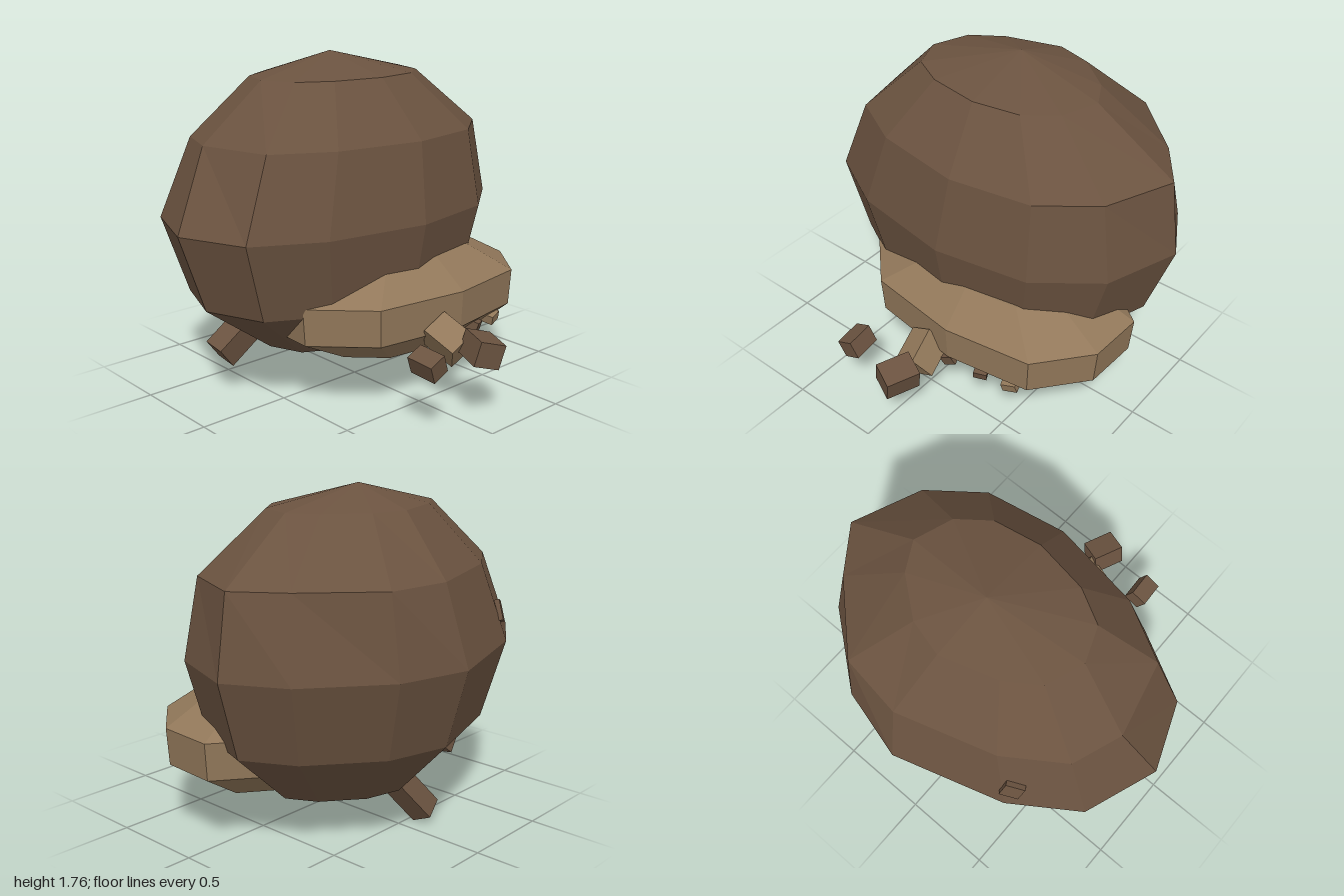
import * as THREE from 'three';

const brown = new THREE.MeshStandardMaterial({ color: 0x6b5340 });
brown.name = 'dark earth';
const tan = new THREE.MeshStandardMaterial({ color: 0x92785a });
tan.name = 'pale earth';

// Faceted rock: an outline in plan, repeated at each ring [y, scale, dx, dz] from top to bottom
function rock(name, material, outline, [cx, cz], rings, tweaks = {}) {
  const n = outline.length;
  const base = new THREE.SphereGeometry(1, n, rings.length - 1);
  const pos = base.attributes.position;
  for (let k = 0; k < pos.count; k++) {
    const row = Math.floor(k / (n + 1));
    const col = (k % (n + 1)) % n;
    const [y, s, dx, dz] = rings[row];
    const [tx, tz] = tweaks[`${row},${col}`] || [0, 0];
    pos.setXYZ(k,
      cx + (outline[col][0] - cx) * s + dx + tx, y,
      cz + (outline[col][1] - cz) * s + dz + tz);
  }
  const geometry = base.toNonIndexed();
  geometry.computeVertexNormals();
  const mesh = new THREE.Mesh(geometry, material);
  mesh.name = name;
  return mesh;
}

function chunk(name, material, size, position, rotation) {
  const mesh = new THREE.Mesh(new THREE.BoxGeometry(...size), material);
  mesh.name = name;
  mesh.position.set(...position);
  mesh.rotation.set(...rotation);
  return mesh;
}

export function createModel() {
  const group = new THREE.Group();
  group.name = 'earthMound';

  // Main boulder, twelve sided
  group.add(rock('boulder', brown, [
    [-1, -0.16], [-0.86, 0.2], [-0.51, 0.39], [0.05, 0.48], [0.55, 0.39], [0.86, 0.15],
    [1, -0.25], [0.835, -0.55], [0.45, -0.855], [0.07, -0.955], [-0.52, -0.775], [-0.855, -0.55],
  ], [0.03, -0.23], [
    [1.74, 0, 0, 0],
    [1.63, 0.5, 0, 0.04],
    [1.33, 0.866, 0.04, 0.02],
    [0.92, 1, 0, 0],
    [0.51, 0.866, 0, 0.02],
    [0.21, 0.5, 0.03, 0.03],
    [0.1, 0, 0.02, 0.06],
  ], { '2,0': [0.03, -0.08], '2,6': [0.03, -0.02], '2,8': [0.01, -0.04] }));

  // Pale ledge bulging from the lower front, ten sided
  group.add(rock('ledge', tan, [
    [0.21, 0.6], [0.68, 0.53], [0.905, 0.26], [0.92, -0.05], [0.65, -0.25],
    [0.17, -0.34], [-0.3, -0.25], [-0.56, -0.02], [-0.575, 0.26], [-0.305, 0.53],
  ], [0.17, 0.13], [
    [0.77, 0, 0, 0],
    [0.71, 0.62, 0, 0],
    [0.56, 1, 0, 0],
    [0.365, 0.98, 0, 0],
    [0.21, 0.62, 0.03, 0],
    [0.155, 0, 0, 0],
  ]));

  // Loose crumbs in front
  group.add(
    chunk('frontCrumb', brown, [0.14, 0.13, 0.18], [0.09, 0.35, 0.84], [0.05, -0.4, -0.25]),
    chunk('smallFrontCrumb', brown, [0.1, 0.1, 0.15], [-0.245, 0.35, 0.79], [0.1, 0.06, 0.4]),
    chunk('paleCrumb', tan, [0.15, 0.15, 0.19], [0.07, 0.345, 0.63], [0.45, 0.15, 0.5]),
  );

  // Clods sticking out underneath and behind
  group.add(
    chunk('bottomClod', brown, [0.12, 0.26, 0.12], [-0.06, 0.135, -0.53], [0.42, 0, -0.59]),
    chunk('sideClod', brown, [0.14, 0.28, 0.13], [-0.59, 0.285, -0.27], [0.15, 0, -0.9]),
    chunk('backClod', brown, [0.1, 0.11, 0.1], [-0.51, 1.06, -0.69], [0.3, 0.55, 0.15]),
  );

  // Tiny bits set into the front of the ledge
  group.add(
    chunk('ledgeBit', brown, [0.07, 0.06, 0.07], [0.19, 0.325, 0.55], [0.2, 0.3, 0.4]),
    chunk('ledgeBit', brown, [0.07, 0.05, 0.08], [0.38, 0.32, 0.52], [0.3, 0.4, -0.2]),
    chunk('ledgeBit', tan, [0.08, 0.05, 0.08], [0.55, 0.315, 0.49], [0.2, 0.3, 0.15]),
  );

  return group;
}
